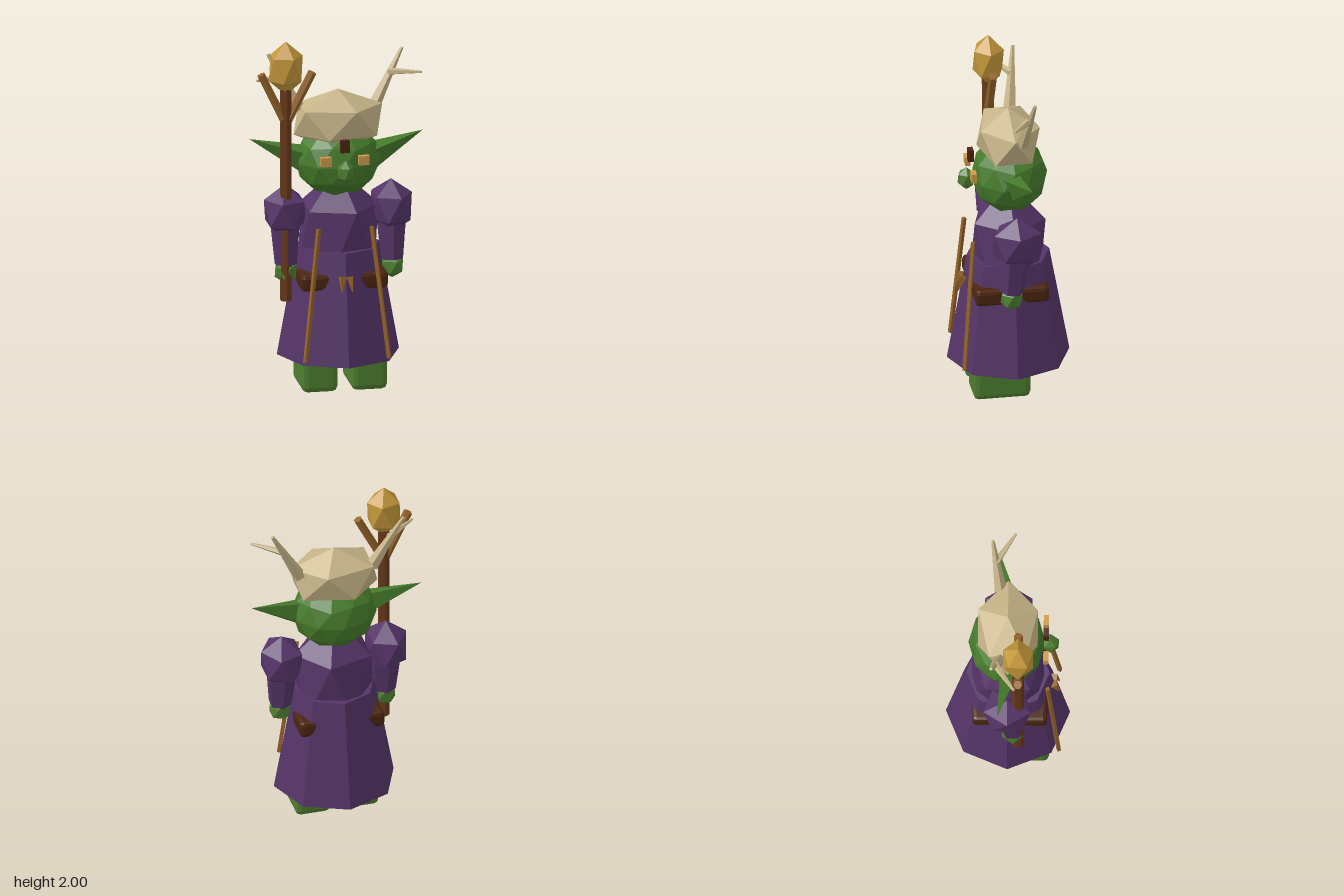
import * as THREE from 'three';
import { RoundedBoxGeometry } from 'three/addons/geometries/RoundedBoxGeometry.js';

function flat(name, color) {
  const m = new THREE.MeshStandardMaterial({ color, flatShading: true });
  m.name = name;
  return m;
}

export function createModel() {
  const model = new THREE.Group();
  const skin = flat('skin green', 0x457a2a);
  const limbSkin = flat('limb green', 0x4d7d2f);
  const robe = flat('robe purple', 0x553468);
  const leather = flat('dark leather', 0x4a2510);
  const wood = flat('staff wood', 0x67391b);
  const lightWood = flat('light wood', 0x96642a);
  const gold = flat('gold', 0xc2963a);
  const eyeColor = flat('eye amber', 0xcc9a48);
  const bone = flat('bone', 0xc6b488);

  const add = (name, geometry, material, x = 0, y = 0, z = 0) => {
    const mesh = new THREE.Mesh(geometry, material);
    mesh.name = name;
    mesh.position.set(x, y, z);
    model.add(mesh);
    return mesh;
  };

  // Icosahedron with one corner straight up, stretched to three radii
  const ico = (rx, ry, rz, detail = 0) => {
    const g = new THREE.IcosahedronGeometry(1, detail);
    g.rotateZ(-Math.atan(2 / (1 + Math.sqrt(5))));
    return g.scale(rx, ry, rz);
  };

  // Tapered straight piece running between two points
  const limb = (name, from, to, r0, r1, material, sides = 6) => {
    const a = new THREE.Vector3(...from), b = new THREE.Vector3(...to);
    const dir = b.clone().sub(a);
    const g = new THREE.CylinderGeometry(r1, r0, dir.length(), sides);
    const mesh = add(name, g, material);
    mesh.position.copy(a).add(b).multiplyScalar(0.5);
    mesh.quaternion.setFromUnitVectors(new THREE.Vector3(0, 1, 0), dir.normalize());
    return mesh;
  };

  // Pointed ear: diamond base pulled out to a swept-back tip
  const ear = (s) => {
    const tip = [s * 0.49, 1.41, -0.055];
    const base = [[1.345, 0.06], [1.37, -0.03], [1.26, -0.045], [1.215, 0.015]]
      .map(([y, z]) => [s * 0.2, y, z]);
    const pos = [];
    base.forEach((p, i) => {
      const q = base[(i + 1) % 4];
      pos.push(...(s > 0 ? [...q, ...p, ...tip] : [...p, ...q, ...tip]));
    });
    const g = new THREE.BufferGeometry();
    g.setAttribute('position', new THREE.Float32BufferAttribute(pos, 3));
    g.computeVertexNormals();
    return g;
  };
  skin.side = THREE.DoubleSide;

  // Robe and belt
  add('skirt', new THREE.CylinderGeometry(0.232, 0.345, 0.63, 8), robe, 0, 0.485, 0);
  add('torso', ico(0.255, 0.38, 0.235), robe, 0, 0.85, 0);
  add('belt', new RoundedBoxGeometry(0.49, 0.095, 0.415, 1, 0.022), leather, 0, 0.633, 0.013);

  // Head
  add('head', ico(0.24, 0.21, 0.215, 1), skin, 0, 1.285, -0.005);
  add('nose', ico(0.05, 0.068, 0.055), limbSkin, 0, 1.275, 0.235);
  add('foreheadStone', new THREE.BoxGeometry(0.05, 0.07, 0.03), leather, 0, 1.42, 0.212);

  // Bone cap
  add('cap', ico(0.28, 0.175, 0.195), bone, 0, 1.517, 0);

  for (const s of [1, -1]) {
    const side = s > 0 ? 'left' : 'right';
    add(side + 'Foot', new RoundedBoxGeometry(0.2, 0.26, 0.32, 1, 0.03), limbSkin, s * 0.14, 0.13, 0.07);
    add(side + 'Ear', ear(s), skin);
    add(side + 'Eye', new THREE.BoxGeometry(0.06, 0.052, 0.03), eyeColor, s * 0.107, 1.335, 0.212);

    // Arm
    const shoulder = add(side + 'Shoulder', ico(0.132, 0.155, 0.155), robe, s * 0.3, 1.0, 0);
    if (s < 0) shoulder.rotation.y = Math.PI;
    limb(side + 'Sleeve', [s * 0.3, 0.98, 0], [s * 0.3, 0.7, 0.03], 0.092, 0.065, robe);
    add(side + 'Hand', ico(0.07, 0.07, 0.07), limbSkin, s * 0.3, 0.66, 0.03);

    // Robe trim rod and belt tie
    limb(side + 'TrimRod', [s * 0.15, 0.95, 0.222], [s * 0.236, 0.2, 0.285], 0.014, 0.014, lightWood, 4);
    limb(side + 'Tie', [s * 0.02, 0.675, 0.255], [s * 0.03, 0.595, 0.285], 0.026, 0.004, lightWood, 4);

    // Antler with side tine
    limb(side + 'Antler', [s * 0.21, 1.57, -0.045], [s * 0.378, 1.885, -0.09], 0.038, 0.01, bone, 5);
    limb(side + 'Tine', [s * 0.3, 1.755, -0.07], [s * 0.465, 1.775, 0.04], 0.022, 0.007, bone, 5);

    // Staff fork
    limb(side + 'StaffFork', [-0.305, 1.52, 0.06], [-0.3 + s * 0.145, 1.815, 0.06], 0.025, 0.025, lightWood);
  }

  // Staff and crystal
  limb('staff', [-0.305, 0.5, 0.06], [-0.305, 1.73, 0.06], 0.034, 0.034, wood);
  add('crystal', ico(0.107, 0.155, 0.098), gold, -0.305, 1.845, 0.06);

  return model;
}
